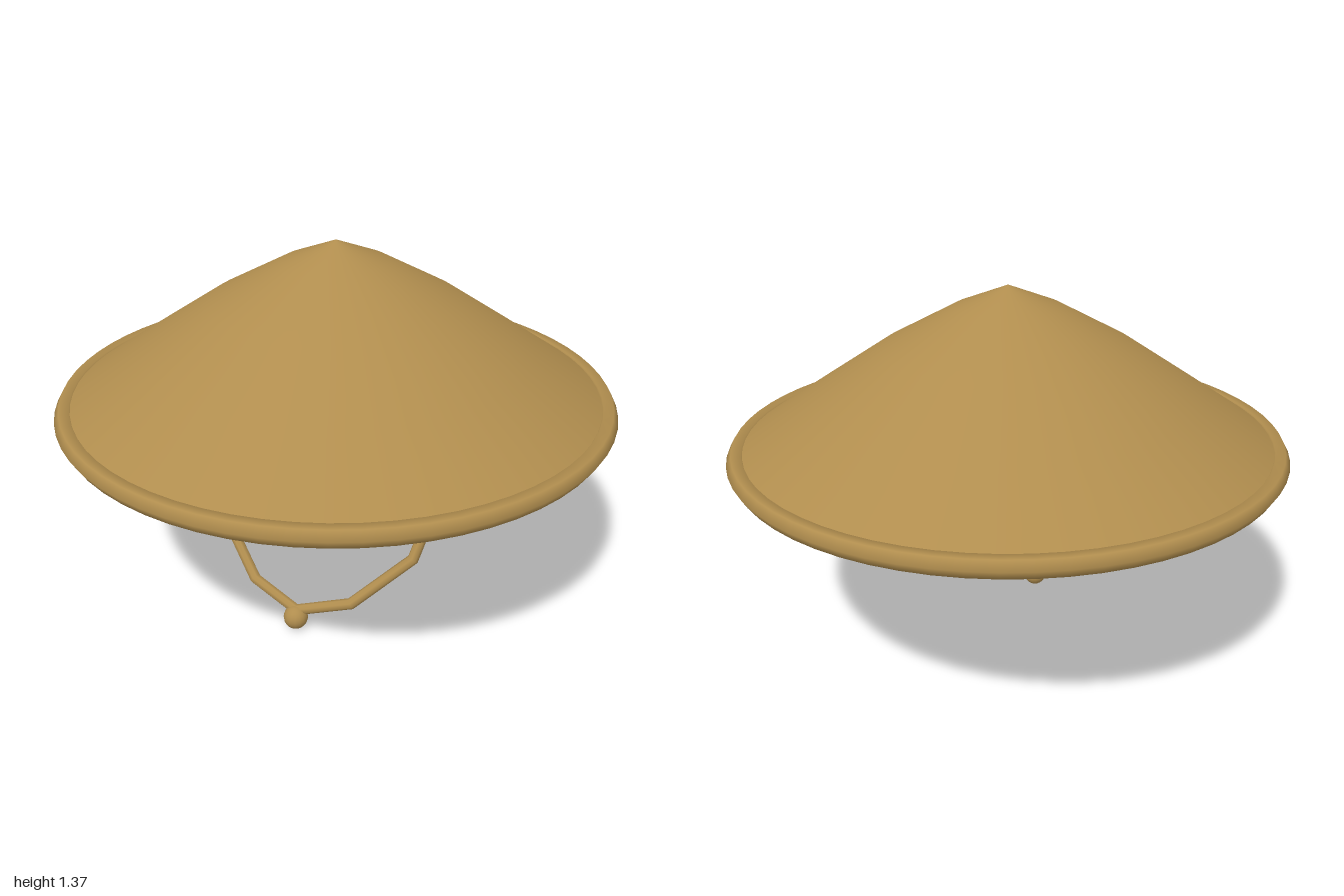
import * as THREE from 'three';

// Straight-sided path whose bends fall exactly on the tube's rings
class BentPath extends THREE.Curve {
  constructor(points) {
    super();
    this.points = points;
  }
  getPoint(t, target = new THREE.Vector3()) {
    const last = this.points.length - 1;
    const s = THREE.MathUtils.clamp(t, 0, 1) * last;
    const i = Math.min(Math.floor(s + 1e-9), last - 1);
    return target.lerpVectors(this.points[i], this.points[i + 1], s - i);
  }
  getPointAt(u, target) {
    return this.getPoint(u, target);
  }
  getTangentAt(u, target = new THREE.Vector3()) {
    const d = 0.02;
    const before = this.getPoint(u - d), after = this.getPoint(u + d);
    return target.subVectors(after, before).normalize();
  }
}

export function createModel() {
  const group = new THREE.Group();
  const straw = new THREE.MeshStandardMaterial({ color: 0xb08d4e, side: THREE.DoubleSide });
  straw.name = 'straw';

  const add = (name, geometry, x = 0, y = 0, z = 0) => {
    const mesh = new THREE.Mesh(geometry, straw);
    mesh.name = name;
    mesh.position.set(x, y, z);
    group.add(mesh);
    return mesh;
  };

  // Thin conical crown, open underneath
  const profile = [[0.965, 0.813], [0.7, 0.99], [0.45, 1.155], [0.19, 1.295], [0, 1.37]];
  add('crown', new THREE.LatheGeometry(profile.map(([r, y]) => new THREE.Vector2(r, y)), 64));

  // Six-sided rolled rim
  const rim = new THREE.TorusGeometry(0.963, 0.035, 6, 64);
  rim.rotateX(Math.PI / 2);
  add('rim', rim, 0, 0.803, 0);

  // Chin strap hanging forward, mirrored about x = 0
  const half = [[0.425, 0.88, 0], [0.452, 0.58, 0.063], [0.385, 0.293, 0.19], [0.195, 0.122, 0.31]];
  const points = [
    ...half.map(([x, y, z]) => new THREE.Vector3(-x, y, z)),
    new THREE.Vector3(0, 0.07, 0.36),
    ...half.map(([x, y, z]) => new THREE.Vector3(x, y, z)).reverse(),
  ];
  add('chinStrap', new THREE.TubeGeometry(new BentPath(points), points.length - 1, 0.021, 8));

  // Bead at the bottom of the strap
  add('strapBead', new THREE.SphereGeometry(0.045, 16, 12), 0, 0.045, 0.367);

  return group;
}
